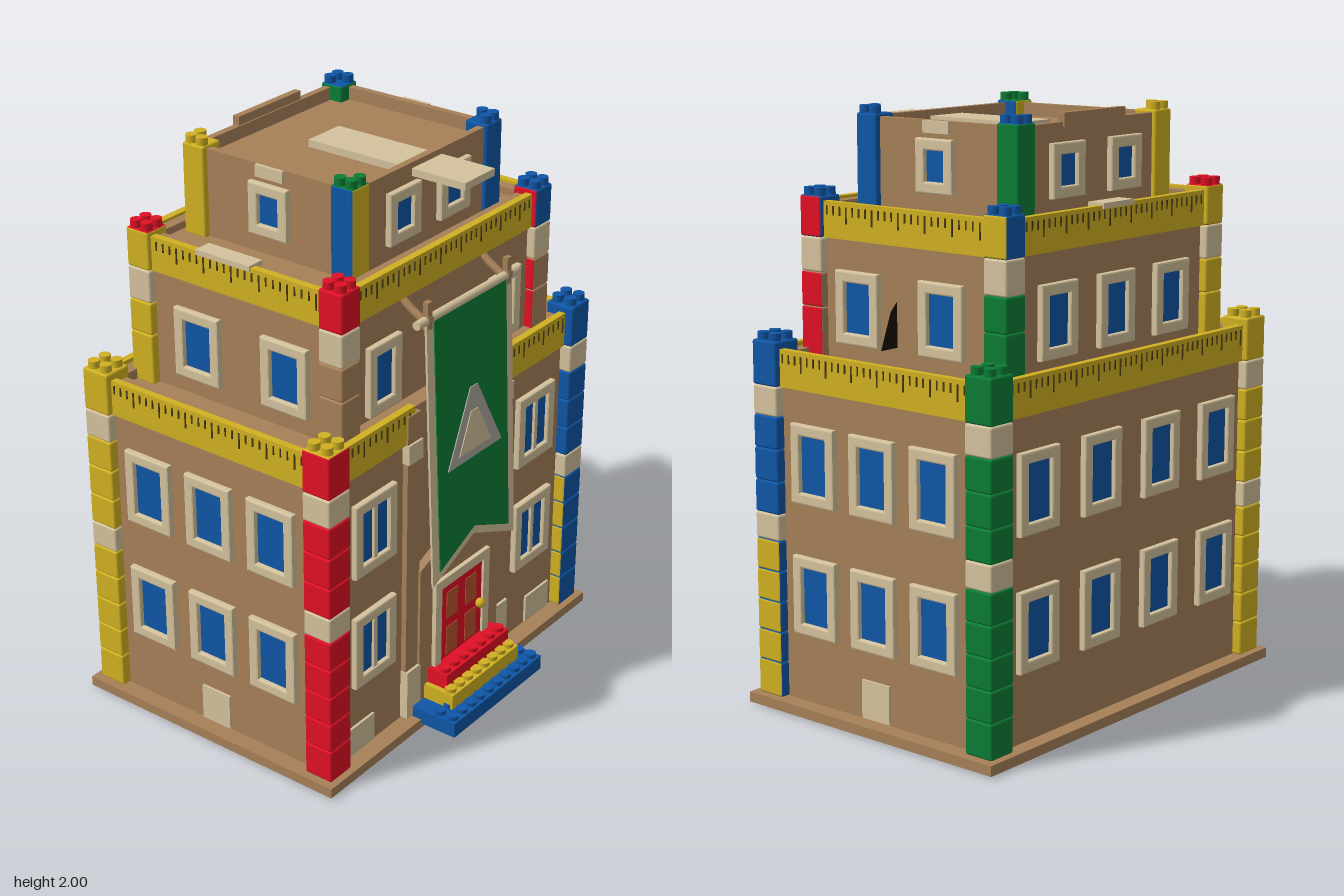
import * as THREE from 'three';
import { mergeGeometries } from 'three/addons/utils/BufferGeometryUtils.js';
import { RoundedBoxGeometry } from 'three/addons/geometries/RoundedBoxGeometry.js';

const mat = (name, color, side = THREE.FrontSide) => {
  const m = new THREE.MeshStandardMaterial({ color, side });
  m.name = name;
  return m;
};
const brown = mat('brown', 0xa68058), cream = mat('cream', 0xd3c29c), yellow = mat('yellow', 0xd0b022);
const red = mat('red', 0xe01024), blue = mat('blue', 0x0f56a6), green = mat('green', 0x0c7c34);
const gray = mat('gray', 0xa9a69c), dark = mat('dark brown', 0x4a3a14), panel = mat('door panel', 0xb8502c);
const black = mat('black', 0x161008, THREE.DoubleSide);

const add = (parent, name, geometry, material, x = 0, y = 0, z = 0) => {
  const m = new THREE.Mesh(geometry, material);
  m.name = name;
  m.position.set(x, y, z);
  parent.add(m);
  return m;
};
// Box given by its two extremes on each axis
const box = (parent, name, material, x0, x1, y0, y1, z0, z1) =>
  add(parent, name, new THREE.BoxGeometry(x1 - x0, y1 - y0, z1 - z0), material,
    (x0 + x1) / 2, (y0 + y1) / 2, (z0 + z1) / 2);
const poly = pts => new THREE.Shape(pts.map(p => new THREE.Vector2(...p)));
const rect = (x0, x1, y0, y1) => poly([[x0, y0], [x1, y0], [x1, y1], [x0, y1]]);
const plate = (shape, depth, bevel = 0) => new THREE.ExtrudeGeometry(shape, {
  depth, bevelEnabled: bevel > 0, bevelSize: bevel, bevelThickness: bevel, bevelSegments: 2 });
const ring = (x0, x1, y0, y1, t) => {
  const s = rect(x0, x1, y0, y1);
  s.holes.push(rect(x0 + t, x1 - t, y0 + t, y1 - t));
  return s;
};
const stud = new THREE.CylinderGeometry(0.02, 0.02, 0.026, 14);

// Rectangular hollow storey, w = half width, zb/zf = back and front planes
function storey(parent, name, w, zb, zf, y0, y1, t) {
  const g = plate(ring(-w, w, -zf, -zb, t), y1 - y0);
  g.rotateX(-Math.PI / 2);
  return add(parent, name, g, brown, 0, y0, 0);
}

// Group lying on one wall of a tier; local x runs along the wall, z points out
function onWall(parent, tier, side, u, y) {
  const g = new THREE.Group();
  g.name = side + 'Fitting';
  if (side === 'front') g.position.set(u, y, tier.zf);
  if (side === 'back') { g.position.set(u, y, tier.zb); g.rotation.y = Math.PI; }
  if (side === 'right') { g.position.set(-tier.w, y, u); g.rotation.y = -Math.PI / 2; }
  if (side === 'left') { g.position.set(tier.w, y, u); g.rotation.y = Math.PI / 2; }
  parent.add(g);
  return g;
}

function windowUnit(parent, tier, side, u, y, w, h, mullion) {
  const g = onWall(parent, tier, side, u, y);
  g.name = side + 'Window';
  add(g, 'windowFrame', plate(ring(-w / 2 + 0.005, w / 2 - 0.005, -h / 2 + 0.005, h / 2 - 0.005, 0.026), 0.014, 0.006),
    cream, 0, 0, 0.004);
  box(g, 'windowGlass', blue, -w / 2 + 0.02, w / 2 - 0.02, -h / 2 + 0.02, h / 2 - 0.02, 0, 0.008);
  if (mullion) box(g, 'windowMullion', cream, -0.009, 0.009, -h / 2 + 0.02, h / 2 - 0.02, 0, 0.018);
}

// Yellow measuring band with tick marks
function band(parent, tier, side, u0, u1, y0, y1) {
  const g = onWall(parent, tier, side, (u0 + u1) / 2, y0), L = u1 - u0, h = y1 - y0;
  g.name = side + 'Band';
  box(g, 'bandStrip', yellow, -L / 2, L / 2, 0, h, -0.012, 0.014);
  const ticks = [];
  for (let i = 1, n = Math.floor(L / 0.028); i < n; i++) {
    const th = i % 4 === 0 ? 0.055 : 0.03;
    ticks.push(new THREE.BoxGeometry(0.005, th, 0.004).translate(-L / 2 + i * L / n, h - 0.014 - th / 2, 0.015));
  }
  add(g, 'bandTicks', mergeGeometries(ticks), dark);
}

// Corner column: blocks are [y0, y1, side colour, front/back colour, top colour]
function column(parent, name, x, z, s, blocks, studs, studColor) {
  const g = new THREE.Group();
  g.name = name;
  g.position.set(x, 0, z);
  for (const [y0, y1, a, b = a, c = b] of blocks)
    add(g, 'columnBlock', new RoundedBoxGeometry(s, y1 - y0, s, 2, 0.008), [a, a, c, c, b, b], 0, (y0 + y1) / 2, 0);
  const top = blocks[blocks.length - 1][1];
  for (const i of [-1, 1]) for (const j of [-1, 1])
    if (studs === 4 || i * Math.sign(x) > 0 || j * Math.sign(z) > 0)
      add(g, 'columnStud', stud, studColor, i * s * 0.24, top + 0.012, j * s * 0.24);
  parent.add(g);
}

function step(parent, name, material, x0, x1, y0, y1, z1, rows) {
  box(parent, name, material, x0, x1, y0, y1, 0.41, z1);
  const n = Math.round((x1 - x0) / 0.052);
  for (let r = 0; r < rows; r++) for (let i = 0; i < n; i++)
    add(parent, name + 'Stud', stud, material, x0 + (i + 0.5) * (x1 - x0) / n, y1 + 0.002, z1 - 0.027 - r * 0.052);
}

export function createModel() {
  const root = new THREE.Group();
  root.name = 'brickBuilding';
  const t1 = { w: 0.7, zb: -0.55, zf: 0.4 }, t2 = { w: 0.545, zb: -0.48, zf: 0.34 }, t3 = { w: 0.38, zb: -0.395, zf: 0.265 };

  // Base rim, hollow storeys, ledges and roof
  storey(root, 'baseRim', 0.76, -0.605, 0.465, 0.005, 0.04, 0.07);
  storey(root, 'lowerWalls', t1.w, t1.zb, t1.zf, 0, 1.21, 0.06);
  storey(root, 'middleWalls', t2.w, t2.zb, t2.zf, 1.17, 1.69, 0.05);
  storey(root, 'upperWalls', t3.w, t3.zb, t3.zf, 1.66, 1.965, 0.025);
  box(root, 'lowerLedge', brown, -0.66, 0.66, 1.14, 1.175, -0.51, 0.36);
  box(root, 'middleLedge', brown, -0.51, 0.51, 1.63, 1.665, -0.45, 0.31);
  box(root, 'roof', brown, -0.37, 0.37, 1.89, 1.92, -0.385, 0.255);
  box(root, 'roofRidge', brown, -0.16, 0.16, 1.95, 1.995, -0.4, -0.375);
  box(root, 'roofPlank', cream, -0.08, 0.08, 1.92, 1.945, -0.15, 0.47);

  // Windows
  for (const s of [-1, 1]) {
    for (const y of [0.86, 0.44]) windowUnit(root, t1, 'front', s * 0.46, y, 0.215, 0.265, true);
    windowUnit(root, t2, 'front', s * 0.335, 1.35, 0.165, 0.24);
    windowUnit(root, t3, 'front', s * 0.135, 1.815, 0.16, 0.175);
    windowUnit(root, t3, 'back', s * 0.15, 1.815, 0.16, 0.175);
  }
  for (const y of [0.855, 0.41]) for (const x of [-0.48, -0.16, 0.16, 0.48]) windowUnit(root, t1, 'back', x, y, 0.19, 0.265);
  for (const x of [-0.3, 0, 0.3]) windowUnit(root, t2, 'back', x, 1.36, 0.18, 0.24);
  for (const side of ['left', 'right']) {
    for (const y of [0.855, 0.41]) for (const z of [0.19, -0.07, -0.33]) windowUnit(root, t1, side, z, y, 0.19, 0.265);
    for (const z of [0.13, -0.23]) windowUnit(root, t2, side, z, 1.36, 0.185, 0.24);
    windowUnit(root, t3, side, -0.06, 1.82, 0.155, 0.175);
    box(onWall(root, t3, side, -0.06, 1.945), 'upperTile', cream, -0.055, 0.055, -0.02, 0.02, 0, 0.012);
    box(onWall(root, t1, side, -0.07, 0.11), 'footTile', cream, -0.06, 0.06, -0.065, 0.065, 0, 0.009);
    // Bands along the sides
    band(root, t1, side, -0.49, 0.35, 1.1, 1.225);
    band(root, t2, side, -0.42, 0.29, 1.58, 1.7);
  }
  // Bands at front and back
  band(root, t1, 'front', -0.64, -0.25, 1.1, 1.225);
  band(root, t1, 'front', 0.25, 0.64, 1.1, 1.225);
  band(root, t1, 'back', -0.64, 0.64, 1.1, 1.225);
  for (const side of ['front', 'back']) band(root, t2, side, -0.49, 0.49, 1.58, 1.7);
  box(root, 'ledgeTile', cream, -0.565, -0.5, 1.69, 1.708, -0.22, 0);
  box(root, 'ledgeTile', cream, -0.08, 0.08, 1.69, 1.708, -0.5, -0.435);

  // Corner columns of the lower tier
  const lower = (c, lowSide = c) => [
    ...[[0.04, 0.16], [0.16, 0.265], [0.265, 0.37], [0.37, 0.475], [0.475, 0.58]].map(r => [...r, lowSide, c]),
    [0.58, 0.67, cream], ...[[0.67, 0.78], [0.78, 0.89], [0.89, 1.0]].map(r => [...r, c]),
    [1.0, 1.1, cream], [1.1, 1.25, c]];
  const redLower = lower(red);
  redLower[10] = [1.1, 1.25, red, red, yellow];
  column(root, 'frontRightLowerColumn', -0.68, 0.39, 0.108, redLower, 4, yellow);
  column(root, 'frontLeftLowerColumn', 0.68, 0.39, 0.108, lower(blue, yellow), 4, blue);
  column(root, 'backLeftLowerColumn', 0.68, -0.53, 0.108, lower(green), 4, green);
  column(root, 'backRightLowerColumn', -0.68, -0.53, 0.108, lower(yellow), 4, yellow);
  // Middle tier columns
  const middle = (a, b, capA, capB, top) => [
    [1.17, 1.35, a, b], [1.35, 1.465, a, b], [1.465, 1.58, cream], [1.58, 1.715, capA, capB, top]];
  column(root, 'frontRightMiddleColumn', -0.527, 0.325, 0.094, middle(brown, brown, red, red, red), 4, red);
  column(root, 'frontLeftMiddleColumn', 0.527, 0.325, 0.094, middle(red, brown, red, blue, blue), 4, blue);
  column(root, 'backLeftMiddleColumn', 0.527, -0.462, 0.094, middle(green, green, yellow, blue, blue), 4, blue);
  column(root, 'backRightMiddleColumn', -0.527, -0.462, 0.094, middle(yellow, yellow, yellow, yellow, red), 4, red);
  // Upper tier columns
  const upper = (a, b, top) => [[1.66, 1.975, a, b, top]];
  column(root, 'frontRightUpperColumn', -0.357, 0.235, 0.088, upper(blue, yellow, green), 3, green);
  column(root, 'frontLeftUpperColumn', 0.357, 0.235, 0.088, upper(blue, blue, blue), 3, blue);
  column(root, 'backLeftUpperColumn', 0.357, -0.366, 0.088, upper(green, green, blue), 3, blue);
  column(root, 'backRightUpperColumn', -0.357, -0.366, 0.088, upper(yellow, yellow, yellow), 3, yellow);

  // Portal, pilasters and foot tiles
  add(root, 'portal', plate(poly([[-0.23, 0.04], [0.23, 0.04], [0.23, 0.6], [0, 0.69], [-0.23, 0.6]]), 0.04), brown, 0, 0, 0.39);
  for (const s of [-1, 1]) {
    const x = s * 0.26;
    box(root, 'pilaster', brown, x - 0.035, x + 0.035, 0.04, 1.2, 0.39, 0.42);
    box(root, 'pilasterFoot', cream, x - 0.038, x + 0.038, 0.045, 0.23, 0.39, 0.43);
    box(root, 'pilasterCap', cream, x - 0.038, x + 0.038, 1.03, 1.1, 0.39, 0.428);
    box(root, 'frontFootTile', cream, s * 0.527 - 0.073, s * 0.527 + 0.073, 0.045, 0.15, 0.4, 0.409);
  }

  // Door
  const frame = ring(-0.16, 0.155, 0.06, 0.52, 0.035);
  add(root, 'doorFrame', plate(frame, 0.018), cream, 0, 0, 0.428);
  box(root, 'door', red, -0.125, 0.12, 0.1, 0.485, 0.42, 0.437);
  for (const s of [-1, 1]) {
    box(root, 'doorPanel', panel, s * 0.055 - 0.032, s * 0.055 + 0.032, 0.2, 0.31, 0.434, 0.44);
    box(root, 'doorPanel', panel, s * 0.055 - 0.032, s * 0.055 + 0.032, 0.345, 0.45, 0.434, 0.44);
  }
  add(root, 'doorKnob', new THREE.SphereGeometry(0.018, 14, 10), yellow, 0.1, 0.32, 0.448);

  // Studded steps
  step(root, 'blueStep', blue, -0.265, 0.26, 0.025, 0.08, 0.605, 2);
  step(root, 'yellowStep', yellow, -0.2, 0.195, 0.08, 0.135, 0.55, 1);
  step(root, 'redStep', red, -0.18, 0.19, 0.135, 0.19, 0.51, 1);

  // Hanging banner with rod and brackets
  const rod = add(root, 'bannerRod', new THREE.CylinderGeometry(0.015, 0.015, 0.56, 14), cream, 0, 1.522, 0.435);
  rod.rotation.z = Math.PI / 2;
  for (const s of [-1, 1]) {
    const path = new THREE.CatmullRomCurve3([[0.335, 1.57], [0.385, 1.535], [0.435, 1.515], [0.445, 1.545]]
      .map(([z, y]) => new THREE.Vector3(s * 0.22, y, z)));
    add(root, 'bannerBracket', new THREE.TubeGeometry(path, 16, 0.014, 10), brown);
    box(root, 'bracketPost', brown, s * 0.22 - 0.012, s * 0.22 + 0.012, 1.49, 1.585, 0.425, 0.445);
  }
  const banner = new THREE.Group();
  banner.name = 'banner';
  banner.position.set(0, 1.52, 0.435);
  banner.rotation.x = -0.046;
  root.add(banner);
  const notch = (w, h, c) => poly([[-w, 0], [-w, -h], [0, -c], [w, -h], [w, 0]]);
  add(banner, 'bannerTrim', plate(notch(0.237, 0.96, 0.86), 0.008), cream);
  add(banner, 'bannerCloth', plate(notch(0.2, 0.915, 0.83), 0.006), green, 0, 0, 0.006);
  const triangle = (w, y0, y1) => poly([[-w, y0], [w, y0], [0.02, y1], [-0.02, y1]]);
  add(banner, 'bannerTriangle', plate(triangle(0.152, -0.565, -0.31), 0.004), gray, 0.005, 0, 0.012);
  add(banner, 'bannerTriangleCentre', plate(triangle(0.09, -0.535, -0.395), 0.004), cream, 0.002, 0, 0.015);

  // Small dark fin on the middle tier
  add(root, 'sideFin', new THREE.ShapeGeometry(poly([[0.545, 1.25], [0.622, 1.25], [0.575, 1.37], [0.545, 1.4]])), black, 0, 0, -0.03);
  return root;
}
